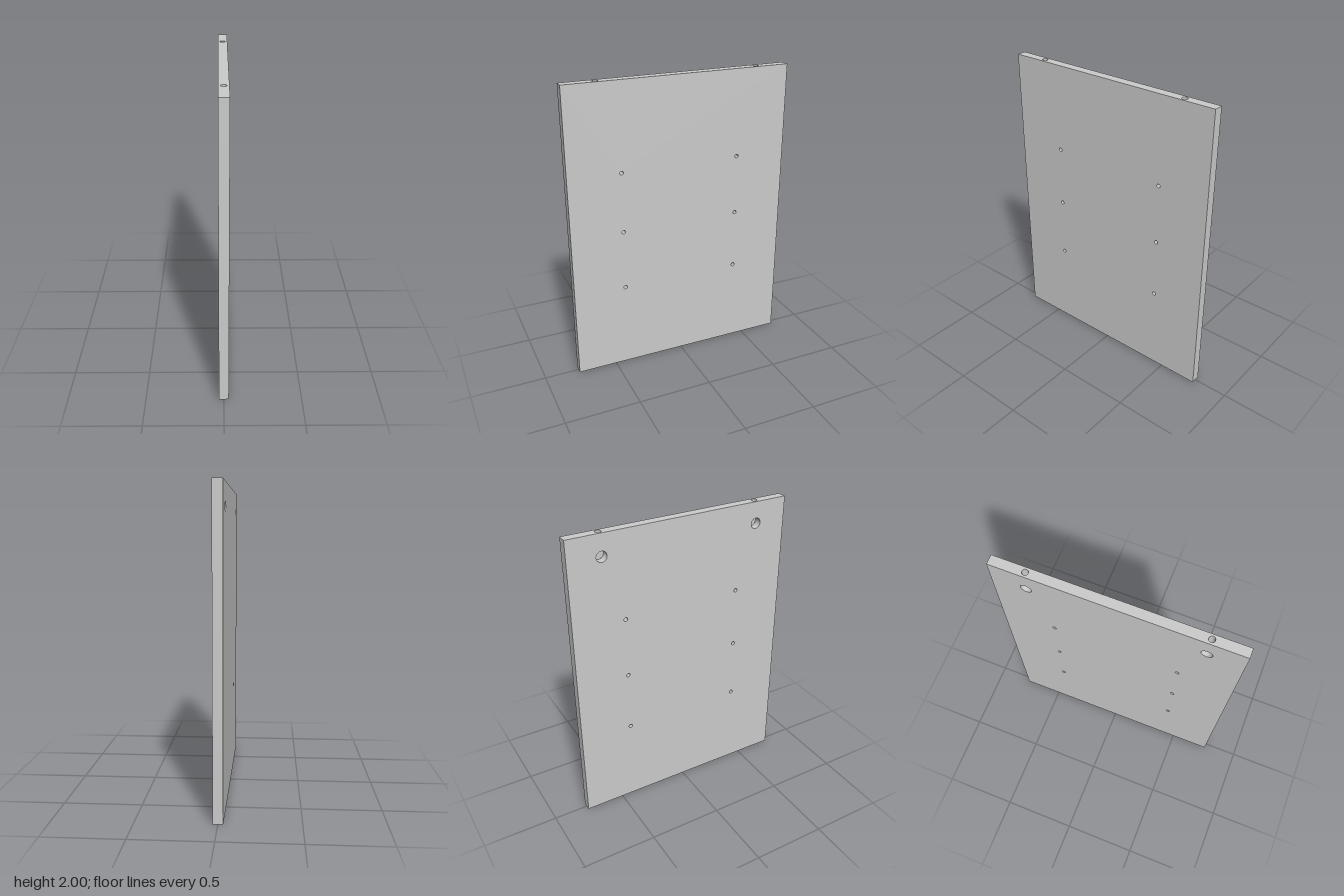
import * as THREE from 'three';
import { ParametricGeometry } from 'three/addons/geometries/ParametricGeometry.js';

const T = 0.0315, H = 2, D = 0.766;            // half thickness, height, half depth
const PIN_R = 0.013, BOLT_R = 0.019, CAM_R = 0.035;
const EDGE_Z = 0.545, CAM_Y = 1.855, CAM_FLOOR = 0.021, DOWEL_DEPTH = 0.13;

export function createModel() {
  const group = new THREE.Group();
  const solid = new THREE.MeshStandardMaterial({ color: 0xcccccc });
  const inner = new THREE.MeshStandardMaterial({ color: 0xcccccc, side: THREE.DoubleSide });

  const add = (name, geometry, material, x = 0, y = 0, z = 0) => {
    const mesh = new THREE.Mesh(geometry, material);
    mesh.name = name;
    mesh.position.set(x, y, z);
    group.add(mesh);
  };

  // Flat rectangle centred on the origin, pierced by [u, v, radius] holes
  const face = (w, h, holes = []) => {
    const s = new THREE.Shape();
    s.moveTo(-w, -h).lineTo(w, -h).lineTo(w, h).lineTo(-w, h).closePath();
    for (const [u, v, r] of holes) s.holes.push(new THREE.Path().absarc(u, v, r, 0, Math.PI * 2, true));
    return new THREE.ShapeGeometry(s, 24);
  };

  const pins = [];
  for (const z of [-0.41, 0.41]) for (const y of [0.59, 1, 1.41]) pins.push([z, y - 1, PIN_R]);
  const edge = (r) => [[0, -EDGE_Z, r], [0, EDGE_Z, r]];
  const cams = [-EDGE_Z, EDGE_Z].map((z) => [z, CAM_Y - 1, CAM_R]);

  // Board faces
  add('leftFace', face(D, H / 2, pins).rotateY(Math.PI / 2), solid, T, 1);
  add('rightFace', face(D, H / 2, [...pins, ...cams]).rotateY(-Math.PI / 2), solid, -T, 1);
  add('topEdge', face(T, D, edge(BOLT_R)).rotateX(-Math.PI / 2), solid, 0, H);
  add('bottomEdge', face(T, D, edge(PIN_R)).rotateX(Math.PI / 2), solid);
  add('frontEdge', face(T, H / 2), solid, 0, 1, D);
  add('backEdge', face(T, H / 2).rotateY(Math.PI), solid, 0, 1, -D);

  // Shelf pin holes, right through the board
  for (const [z, v] of pins) {
    const wall = new THREE.CylinderGeometry(PIN_R, PIN_R, 2 * T, 24, 1, true).rotateZ(Math.PI / 2);
    add('pinHole', wall, inner, 0, v + 1, z);
  }

  const camTop = (z) => Math.sqrt(Math.max(0, CAM_R ** 2 - z * z));
  const patchZ = 0.028, phi = Math.asin(patchZ / CAM_R);
  const camLength = CAM_FLOOR + T;

  for (const z of [-EDGE_Z, EDGE_Z]) {
    // Round fitting pocket in the right face, open at the top where the bolt hole enters
    const wall = new THREE.CylinderGeometry(CAM_R, CAM_R, camLength, 36, 1, true,
      Math.PI / 2 + phi, Math.PI * 2 - 2 * phi).rotateZ(Math.PI / 2);
    add('pocketWall', wall, inner, (CAM_FLOOR - T) / 2, CAM_Y, z);
    add('pocketFloor', new THREE.CircleGeometry(CAM_R, 36).rotateY(-Math.PI / 2), inner, CAM_FLOOR, CAM_Y, z);

    // Curved part of the pocket wall around the bolt hole
    add('pocketRoof', new ParametricGeometry((u, v, p) => {
      const c = Math.cos(u * Math.PI * 2), s = Math.sin(u * Math.PI * 2);
      const reach = Math.min((c > 0 ? CAM_FLOOR : T) / Math.max(Math.abs(c), 1e-6),
        patchZ / Math.max(Math.abs(s), 1e-6));
      const r = THREE.MathUtils.lerp(BOLT_R, reach, v);
      p.set(r * c, camTop(r * s), r * s);
    }, 64, 4), inner, 0, CAM_Y, z);

    // Bolt hole from the top edge down to the pocket
    add('boltHole', new ParametricGeometry((u, v, p) => {
      const a = u * Math.PI * 2, pz = BOLT_R * Math.sin(a);
      p.set(BOLT_R * Math.cos(a), THREE.MathUtils.lerp(H, CAM_Y + camTop(pz), v), pz);
    }, 32, 1), inner, 0, 0, z);

    // Blind dowel hole in the bottom edge
    add('dowelHole', new THREE.CylinderGeometry(PIN_R, PIN_R, DOWEL_DEPTH, 24, 1, true), inner, 0, DOWEL_DEPTH / 2, z);
    add('dowelHoleEnd', new THREE.CircleGeometry(PIN_R, 24).rotateX(Math.PI / 2), inner, 0, DOWEL_DEPTH, z);
  }
  return group;
}
